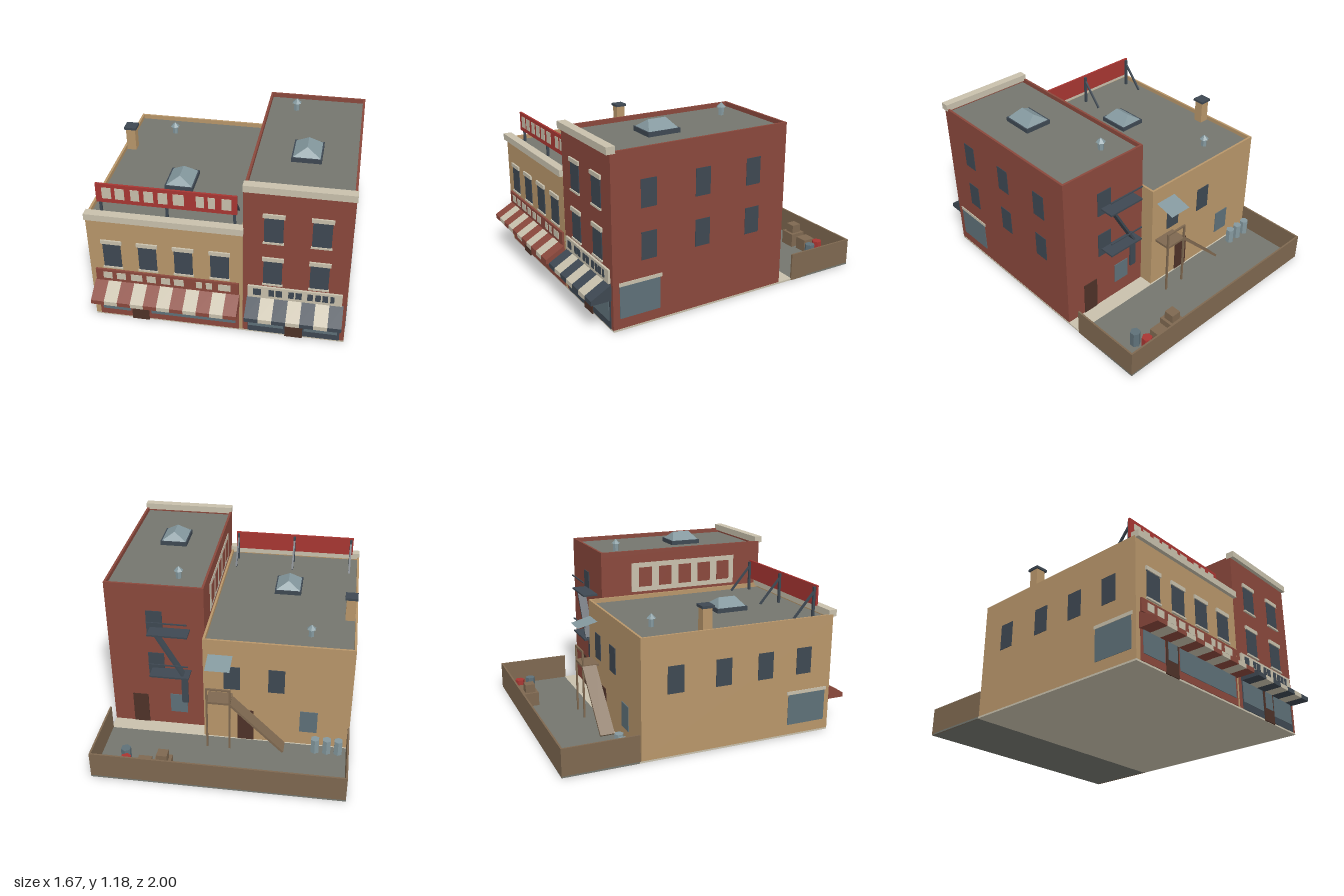
import * as THREE from 'three';

const mat = (name, color) => {
  const m = new THREE.MeshStandardMaterial({ color });
  m.name = name;
  return m;
};

export function createModel() {
  const tan = mat('tan brick', 0xb8966a), brick = mat('red brick', 0x8a483c), cream = mat('cream stone', 0xc8c0ac);
  const slate = mat('dark slate', 0x3e4852), roof = mat('roof grey', 0x74766e), glass = mat('shop glass', 0x5e7078);
  const metal = mat('pale metal', 0x84989e), red = mat('sign red', 0xa83632), wood = mat('weathered wood', 0x7e6850);
  const doorBrown = mat('door brown', 0x4e3228);
  metal.side = THREE.DoubleSide;

  const model = new THREE.Group();
  model.name = 'cornerShops';
  let group = model;
  const section = (name) => {
    group = new THREE.Group();
    group.name = name;
    model.add(group);
  };
  const add = (name, geo, m) => {
    const mesh = new THREE.Mesh(geo, m);
    mesh.name = name;
    group.add(mesh);
    return mesh;
  };
  // Box given by its limits on each axis
  const box = (name, m, x0, x1, y0, y1, z0, z1) => {
    const mesh = add(name, new THREE.BoxGeometry(x1 - x0, y1 - y0, z1 - z0), m);
    mesh.position.set((x0 + x1) / 2, (y0 + y1) / 2, (z0 + z1) / 2);
    return mesh;
  };
  // Square bar between two points
  const beam = (name, m, a, b, w, h = w) => {
    const p = new THREE.Vector3(...a), q = new THREE.Vector3(...b);
    const mesh = add(name, new THREE.BoxGeometry(w, h, p.distanceTo(q)), m);
    mesh.position.copy(p).lerp(q, 0.5);
    mesh.lookAt(q);
    return mesh;
  };
  const drum = (name, m, x, z, r, y0, y1, rTop = r) => {
    const geo = new THREE.CylinderGeometry(rTop, r, y1 - y0, 6).toNonIndexed();
    geo.computeVertexNormals();
    add(name, geo, m).position.set(x, (y0 + y1) / 2, z);
  };

  const F = 0.865, G = 0.012, T = 0.005;
  // Thin plates on the front, on the back and on a side wall
  const front = (name, m, x0, x1, y0, y1, z = F, t = T) => box(name, m, x0, x1, y0, y1, z, z + t);
  const back = (name, m, x0, x1, y0, y1, z) => box(name, m, x0, x1, y0, y1, z - T, z);
  const side = (name, m, x, s, z0, z1, y0, y1, t = 0.003) =>
    box(name, m, Math.min(x, x + s * t), Math.max(x, x + s * t), y0, y1, z0, z1);

  // Ground and yard
  section('ground');
  box('pavementBase', cream, -0.835, 0.832, 0, G, -0.5, F);
  box('yard', roof, -0.835, 0.835, 0, G, -1, -0.5);
  box('fenceBack', wood, -0.835, 0.835, 0, 0.19, -1, -0.988);
  for (const s of [-1, 1]) box('fenceSide', wood, s < 0 ? -0.835 : 0.823, s < 0 ? -0.823 : 0.835, 0, 0.19, -0.988, -0.495);

  // Block with a flat roof, low parapet and front cornice
  function building(name, m, x0, x1, zBack, roofY, topY, corniceY) {
    section(name);
    box('walls', m, x0, x1, G, roofY - 0.005, zBack, F);
    const t = 0.015;
    box('roofDeck', roof, x0 + t, x1 - t, roofY - 0.005, roofY, zBack + t, F - t);
    box('parapetLeft', m, x1 - t, x1, roofY - 0.005, topY, zBack, F);
    box('parapetRight', m, x0, x0 + t, roofY - 0.005, topY, zBack, F);
    box('parapetBack', m, x0 + t, x1 - t, roofY - 0.005, topY, zBack, zBack + t);
    box('parapetFront', m, x0 + t, x1 - t, roofY - 0.005, topY, F - t, F);
    box('cornice', cream, x0, x1 + 0.005, corniceY, corniceY + 0.045, 0.832, 0.89);
  }

  function frontWindow(x, y) {
    front('window', slate, x - 0.059, x + 0.059, y, y + 0.18);
    front('lintel', cream, x - 0.068, x + 0.068, y + 0.18, y + 0.207, F, 0.012);
    front('sill', cream, x - 0.065, x + 0.065, y - 0.012, y, F, 0.012);
  }

  // Striped wedge awning
  function awning(x0, x1, count, dark) {
    const w = (x1 - x0) / count;
    const shape = new THREE.Shape([[F, 0.205], [1, 0.205], [1, 0.235], [F, 0.31]].map((p) => new THREE.Vector2(...p)));
    const geo = new THREE.ExtrudeGeometry(shape, { depth: w, bevelEnabled: false }).rotateY(-Math.PI / 2);
    for (let i = 0; i < count; i++) add('awningStripe', geo, i % 2 ? cream : dark).position.x = x0 + (i + 1) * w;
  }

  // Shop front: panel, two shop windows, glazed door, sign board with blocks
  function shop(x0, x1, panel, panes, door, board, blockMat, blocks) {
    front('shopPanel', panel, x0, x1, G, 0.315, F, 0.004);
    for (const [a, b] of panes) front('shopWindow', glass, a, b, 0.06, 0.22, F + 0.003);
    front('shopDoor', doorBrown, door, door + 0.115, 0, 0.22, F + 0.002, 0.008);
    front('doorGlass', glass, door + 0.015, door + 0.1, 0.09, 0.22, F + 0.008);
    front('signBoard', board, x0, x1, 0.313, 0.402, F, 0.014);
    for (const [a, b] of blocks) front('signBlock', blockMat, a, b, 0.335, 0.385, F + 0.012);
  }

  function skylight(x, z, y) {
    box('skylightCurb', slate, x - 0.095, x + 0.095, y, y + 0.03, z - 0.113, z + 0.113);
    const geo = new THREE.BoxGeometry(0.172, 0.055, 0.208);
    const p = geo.attributes.position;
    for (let i = 0; i < p.count; i++) if (p.getY(i) > 0) p.setXYZ(i, p.getX(i) * 0.02, p.getY(i), p.getZ(i) * 0.6);
    geo.computeVertexNormals();
    add('skylightGlass', geo, metal).position.set(x, y + 0.0575, z);
  }

  function vent(x, z, y) {
    drum('ventPipe', metal, x, z, 0.02, y, y + 0.055);
    drum('ventCap', metal, x, z, 0.033, y + 0.055, y + 0.085, 0.002);
  }

  // Low tan building
  building('tanBuilding', tan, -0.835, 0.165, -0.49, 0.78, 0.81, 0.795);
  for (let i = 0; i < 4; i++) frontWindow(-0.68 + i * 0.233, 0.43);
  shop(-0.8, 0.142, brick, [[-0.78, -0.59], [-0.45, 0.12]], -0.58, brick, cream,
    [[-0.75, -0.69], [-0.66, -0.6], [-0.565, -0.49], [-0.46, -0.4], [-0.365, -0.305], [-0.28, -0.215],
      [-0.135, -0.095], [-0.07, -0.03], [0.01, 0.09]]);
  awning(-0.81, 0.145, 11, brick);
  for (const z of [-0.26, 0.07, 0.37, 0.655]) side('sideWindow', slate, -0.835, -1, z - 0.055, z + 0.055, 0.43, 0.61);
  side('sideShopWindow', glass, -0.835, -1, 0.55, 0.83, 0.08, 0.29);
  side('sideLintel', cream, -0.835, -1, 0.54, 0.84, 0.292, 0.315, 0.004);
  for (const x of [-0.03, -0.33]) back('backWindow', slate, x - 0.055, x + 0.055, 0.43, 0.61, -0.49);
  back('backLowWindow', glass, -0.615, -0.495, 0.12, 0.29, -0.49);
  back('backDoor', doorBrown, -0.18, -0.07, G, 0.26, -0.49);
  skylight(-0.333, 0.338, 0.78);
  vent(-0.535, -0.3, 0.78);
  box('chimney', tan, -0.818, -0.752, 0.78, 0.945, -0.075, -0.01);
  box('chimneyCap', slate, -0.828, -0.742, 0.943, 0.96, -0.085, 0);

  // Rooftop sign on braced posts
  section('rooftopSign');
  box('signPanel', red, -0.78, 0.115, 0.865, 1, 0.762, 0.776);
  for (const [a, b] of [[-0.74, -0.68], [-0.655, -0.595], [-0.555, -0.5], [-0.47, -0.41], [-0.38, -0.32],
    [-0.285, -0.215], [-0.14, -0.09], [-0.065, -0.02], [0.02, 0.08]]) front('signBlock', cream, a, b, 0.895, 0.975, 0.774);
  for (const x of [-0.762, -0.333, 0.097]) {
    box('signPost', slate, x - 0.008, x + 0.008, 0.78, 0.99, 0.746, 0.762);
    beam('signBrace', slate, [x, 0.96, 0.755], [x, 0.785, 0.605], 0.013);
  }

  // Tall brick building
  building('brickBuilding', brick, 0.167, 0.83, -0.39, 1.1, 1.13, 1.118);
  for (const x of [0.355, 0.647]) for (const y of [0.43, 0.757]) frontWindow(x, y);
  shop(0.2, 0.8, slate, [[0.205, 0.435], [0.57, 0.785]], 0.445, cream, slate,
    [[0.235, 0.285], [0.335, 0.37], [0.38, 0.42], [0.46, 0.495], [0.505, 0.545], [0.58, 0.615],
      [0.63, 0.665], [0.675, 0.71], [0.725, 0.75]]);
  awning(0.195, 0.81, 7, slate);
  for (const z of [0.617, 0.238, -0.138]) for (const y of [0.43, 0.76])
    side('sideWindow', slate, 0.83, 1, z - 0.053, z + 0.053, y, y + 0.178);
  side('sideShopWindow', glass, 0.83, 1, 0.54, 0.82, 0.08, 0.29);
  side('sideLintel', cream, 0.83, 1, 0.53, 0.825, 0.292, 0.315, 0.005);
  for (const y of [0.43, 0.76]) back('backWindow', slate, 0.45, 0.56, y, y + 0.178, -0.39);
  back('backDoor', doorBrown, 0.58, 0.69, G, 0.25, -0.39);
  back('backLowWindow', glass, 0.3, 0.42, 0.12, 0.27, -0.39);
  side('wallPanel', cream, 0.167, -1, -0.165, 0.65, 0.83, 1.04);
  for (let i = 0; i < 5; i++) side('wallPanelBlock', brick, 0.164, -1, -0.11 + i * 0.155, -0.01 + i * 0.155, 0.865, 1.005);
  skylight(0.5, 0.368, 1.1);
  vent(0.365, -0.21, 1.1);

  // Fire escape
  section('fireEscape');
  for (const y of [0.475, 0.803]) {
    box('landing', slate, 0.265, 0.535, y, y + 0.012, -0.495, -0.39);
    box('rail', slate, 0.265, 0.535, y + 0.1, y + 0.108, -0.495, -0.487);
  }
  beam('steepStair', slate, [0.49, 0.805, -0.445], [0.31, 0.485, -0.445], 0.06, 0.014);
  box('dropLadder', slate, 0.28, 0.325, 0.25, 0.48, -0.45, -0.437);

  // Timber stair to the upper floor
  section('backStair');
  box('stairLanding', wood, -0.035, 0.13, 0.38, 0.396, -0.61, -0.49);
  beam('stairFlight', wood, [-0.03, 0.385, -0.56], [-0.395, 0.02, -0.56], 0.1, 0.016);
  for (const x of [-0.03, 0.125]) box('stairPost', wood, x - 0.006, x + 0.006, G, 0.5, -0.61, -0.598);
  box('stairRail', wood, -0.036, 0.131, 0.49, 0.502, -0.61, -0.598);
  const canopy = add('canopy', new THREE.PlaneGeometry(0.165, 0.145).rotateX(-Math.PI / 2), metal);
  canopy.position.set(0.047, 0.682, -0.564);
  canopy.rotation.x = -0.25;

  // Crates and drums in the yard
  section('yardClutter');
  box('crate', wood, 0.315, 0.425, G, 0.11, -0.95, -0.84);
  box('smallCrate', wood, 0.335, 0.405, 0.11, 0.17, -0.93, -0.86);
  box('crate', wood, 0.45, 0.54, G, 0.1, -0.95, -0.86);
  drum('redDrum', red, 0.615, -0.91, 0.035, G, 0.12);
  drum('blueDrum', glass, 0.637, -0.825, 0.035, G, 0.12);
  for (const x of [-0.768, -0.69, -0.61]) drum('bin', metal, x, -0.555, 0.031, G, 0.12);

  return model;
}
